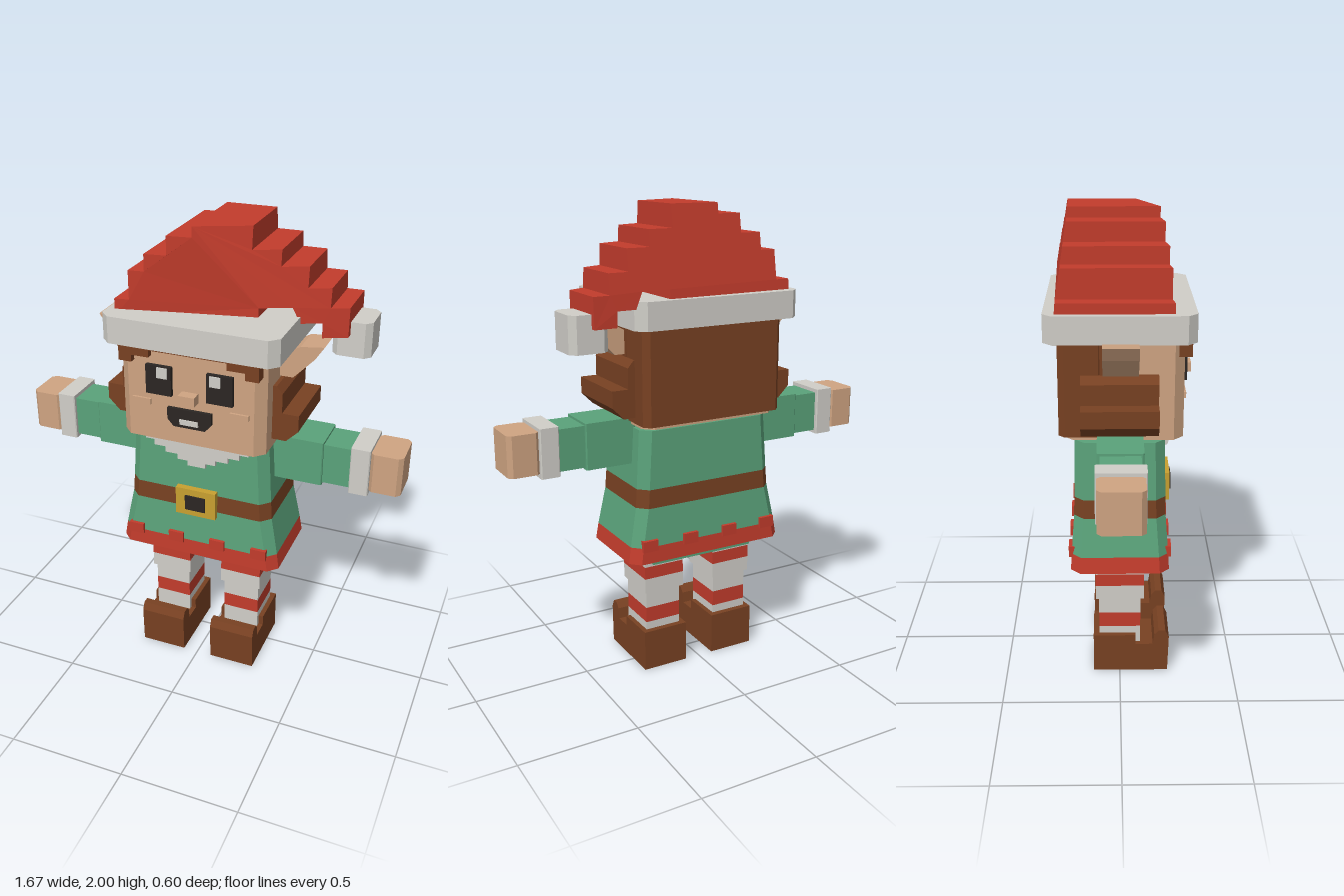
import * as THREE from 'three';

const mat = (name, color) => {
  const m = new THREE.MeshStandardMaterial({ color });
  m.name = name;
  return m;
};

export function createModel() {
  const red = mat('red', 0xc23c2c), white = mat('white', 0xd0cec8), skin = mat('skin', 0xcfa482);
  const green = mat('green', 0x5aa27a), brown = mat('brown', 0x784122);
  const gold = mat('gold', 0xc8a030), black = mat('black', 0x2b2623);
  const model = new THREE.Group();
  model.name = 'elf';

  const add = (name, geometry, material, parent = model) => {
    const mesh = new THREE.Mesh(geometry, material);
    mesh.name = name;
    parent.add(mesh);
    return mesh;
  };

  // Box given by its limits
  const box = (name, m, x0, x1, y0, y1, z0, z1, parent) =>
    add(name, new THREE.BoxGeometry(x1 - x0, y1 - y0, z1 - z0)
      .translate((x0 + x1) / 2, (y0 + y1) / 2, (z0 + z1) / 2), m, parent);

  // Flat-sided block from chamfered rings [y, half width, half depth], bottom to top
  const loft = (name, m, rings, c, cx = 0, cz = 0, parent = model) => {
    const loops = rings.map(([y, w, d]) => [
      [w, d - c], [w, c - d], [w - c, -d], [c - w, -d],
      [-w, c - d], [-w, d - c], [c - w, d], [w - c, d],
    ].map(([x, z]) => [x + cx, y, z + cz]));
    const pos = [];
    const tri = (...p) => p.forEach((v) => pos.push(...v));
    for (let r = 0; r + 1 < loops.length; r++) {
      const a = loops[r], b = loops[r + 1];
      for (let i = 0; i < 8; i++) {
        const j = (i + 1) % 8;
        tri(a[i], a[j], b[j]);
        tri(a[i], b[j], b[i]);
      }
    }
    const bottom = loops[0], top = loops[loops.length - 1];
    for (let i = 1; i < 7; i++) {
      tri(top[0], top[i], top[i + 1]);
      tri(bottom[0], bottom[i + 1], bottom[i]);
    }
    const g = new THREE.BufferGeometry();
    g.setAttribute('position', new THREE.Float32BufferAttribute(pos, 3));
    g.computeVertexNormals();
    return add(name, g, m, parent);
  };

  // Outline in x and y, extruded from z0 to z1
  const slab = (points, z0, z1) => new THREE.ExtrudeGeometry(
    new THREE.Shape(points.map(([x, y]) => new THREE.Vector2(x, y))),
    { depth: z1 - z0, bevelEnabled: false }).translate(0, 0, z0);

  // Head and hair
  loft('head', skin, [[1.125, 0.31, 0.24], [1.56, 0.31, 0.24]], 0.04, 0, 0.015);
  loft('backHair', brown, [[1.14, 0.32, 0.0925], [1.56, 0.32, 0.0925]], 0.025, 0, -0.1525);
  box('fringe', brown, -0.3, 0.3, 1.525, 1.56, 0.2, 0.283);

  // Face, ears and side hair, both sides
  for (const s of [-1, 1]) {
    const span = (name, m, a, b, ...rest) =>
      box(name, m, Math.min(s * a, s * b), Math.max(s * a, s * b), ...rest);
    const flip = (pts) => pts.map(([x, y]) => [s * x, y]);
    span('fringeLock', brown, 0.24, 0.295, 1.465, 1.54, 0.2, 0.283);
    span('fringeStep', brown, 0.165, 0.24, 1.495, 1.54, 0.2, 0.283);
    span('sideLock', brown, 0.3, 0.322, 1.4, 1.56, -0.08, 0.0);
    span('eye', black, 0.075, 0.185, 1.335, 1.46, 0.25, 0.272);
    span('eyeGlint', white, 0.09, 0.135, 1.41, 1.455, 0.27, 0.278);
    span('cheek', skin, 0.17, 0.25, 1.28, 1.305, 0.25, 0.265);
    add('ear', slab(flip([[0.29, 1.41], [0.365, 1.41], [0.45, 1.5], [0.487, 1.557],
      [0.39, 1.545], [0.29, 1.49]]), -0.068, 0.072), skin);
    add('sideHair', slab(flip([[0.3, 1.165], [0.37, 1.165], [0.42, 1.215], [0.42, 1.285],
      [0.35, 1.285], [0.35, 1.37], [0.325, 1.4], [0.3, 1.4]]), -0.155, 0.152), brown);
  }
  box('nose', skin, -0.035, 0.035, 1.32, 1.36, 0.25, 0.3);
  add('mouth', slab([[-0.095, 1.285], [-0.095, 1.235], [-0.068, 1.205], [0.068, 1.205],
    [0.095, 1.235], [0.095, 1.285]], 0.25, 0.27), black);
  box('teeth', white, -0.04, 0.04, 1.22, 1.242, 0.268, 0.276);

  // Hat: stepped outline, with front and back walls slanted
  const hat = slab([[-0.34, 1.62], [0.22, 1.62], [0.22, 1.685], [0.34, 1.685], [0.37, 1.62],
    [0.45, 1.62], [0.45, 1.558], [0.545, 1.558], [0.545, 1.68], [0.475, 1.68], [0.475, 1.76],
    [0.39, 1.76], [0.39, 1.845], [0.29, 1.845], [0.29, 1.91], [0.185, 1.91], [0.185, 2],
    [-0.025, 2], [-0.025, 1.957], [-0.125, 1.957], [-0.125, 1.88], [-0.215, 1.88],
    [-0.215, 1.81], [-0.28, 1.81], [-0.28, 1.69], [-0.34, 1.69]], 0, 1);
  const frontPath = [[-0.34, 0.21], [-0.03, 0.165], [0.2, 0.1], [0.545, -0.055]];
  const frontZ = (x) => {
    const i = Math.max(1, frontPath.findIndex(([px]) => x <= px + 1e-4));
    const [xa, za] = frontPath[i - 1], [xb, zb] = frontPath[i];
    return THREE.MathUtils.lerp(za, zb, (x - xa) / (xb - xa));
  };
  const hp = hat.attributes.position;
  for (let i = 0; i < hp.count; i++) {
    const x = hp.getX(i), rise = Math.max(0, hp.getY(i) - 1.65);
    hp.setZ(i, hp.getZ(i) > 0.5
      ? frontZ(x) - (x > 0 ? rise * 0.1 : 0)
      : -0.253 - 0.03 * (x + 0.34) / 0.885 + rise * 0.17);
  }
  hat.computeVertexNormals();
  add('hat', hat, red);
  loft('hatBrim', white, [[1.535, 0.37, 0.297], [1.648, 0.37, 0.297]], 0.038);
  loft('hatPompom', white, [[1.465, 0.08, 0.087], [1.613, 0.08, 0.087]], 0.025, 0.55, -0.172);

  // Tunic in coloured bands, flaring to the hem
  const top = [1.108, 0.3, 0.183], waist = [0.86, 0.316, 0.188], belt = [0.78, 0.322, 0.19];
  const hemTop = [0.615, 0.354, 0.202], hem = [0.545, 0.365, 0.206];
  loft('tunicTop', green, [waist, top], 0.04);
  loft('belt', brown, [belt, waist], 0.04);
  loft('tunicSkirt', green, [hemTop, belt], 0.04);
  loft('hem', red, [hem, hemTop], 0.04);
  box('underskirt', green, -0.24, 0.24, 0.505, 0.56, -0.145, 0.145);
  for (const x of [-0.285, -0.095, 0.095, 0.285]) {
    box('hemTabFront', red, x - 0.034, x + 0.034, 0.6, 0.648, 0.18, 0.214);
    box('hemTabBack', red, x - 0.034, x + 0.034, 0.6, 0.648, -0.214, -0.18);
  }
  box('buckle', gold, -0.09, 0.09, 0.755, 0.882, 0.17, 0.216);
  box('buckleCentre', black, -0.045, 0.045, 0.785, 0.852, 0.21, 0.224);

  // Stepped collar
  const collar = [[0.23, 1.085], [0.19, 1.06], [0.14, 1.035], [0.085, 1.012], [0.04, 0.99]];
  const edge = [[0.23, 1.112]];
  collar.forEach(([w, y], i) => {
    edge.push([w, y]);
    if (collar[i + 1]) edge.push([collar[i + 1][0], y]);
  });
  add('collar', slab([...edge, ...edge.map(([x, y]) => [-x, y]).reverse()], 0.17, 0.2), white);

  // Arms and legs, both sides
  for (const s of [-1, 1]) {
    const arm = new THREE.Group();
    arm.name = s > 0 ? 'leftArm' : 'rightArm';
    model.add(arm);
    const seg = (name, m, x0, x1, y0, y1, d, c) =>
      loft(name, m, [[y0, (x1 - x0) / 2, d], [y1, (x1 - x0) / 2, d]], c, s * (x0 + x1) / 2, 0, arm);
    seg('upperSleeve', green, 0.29, 0.51, 0.955, 1.15, 0.092, 0.004);
    seg('lowerSleeve', green, 0.5, 0.63, 0.965, 1.14, 0.08, 0.004);
    seg('cuff', white, 0.625, 0.705, 0.95, 1.156, 0.097, 0.004);
    seg('hand', skin, 0.7, 0.835, 0.97, 1.142, 0.09, 0.018);

    const leg = new THREE.Group();
    leg.name = s > 0 ? 'leftLeg' : 'rightLeg';
    leg.position.x = s * 0.168;
    model.add(leg);
    for (const [m, y0, y1, w, d] of [
      [white, 0.12, 0.215, 0.081, 0.09], [red, 0.215, 0.283, 0.081, 0.09],
      [white, 0.283, 0.36, 0.081, 0.09], [white, 0.36, 0.425, 0.092, 0.104],
      [red, 0.425, 0.48, 0.092, 0.104], [white, 0.48, 0.55, 0.092, 0.104],
    ]) box('stocking', m, -w, w, y0, y1, -d, d, leg);

    // Shoe with a curled toe, drawn in profile and turned to face front
    const shoe = slab([[-0.115, 0], [0.211, 0], [0.216, 0.17], [0.2, 0.203], [0.17, 0.203],
      [0.152, 0.182], [0.145, 0.135], [0.07, 0.135], [0.07, 0.18], [-0.115, 0.18]], -0.102, 0.102);
    add('shoe', shoe.rotateY(-Math.PI / 2), brown, leg);
  }
  return model;
}
